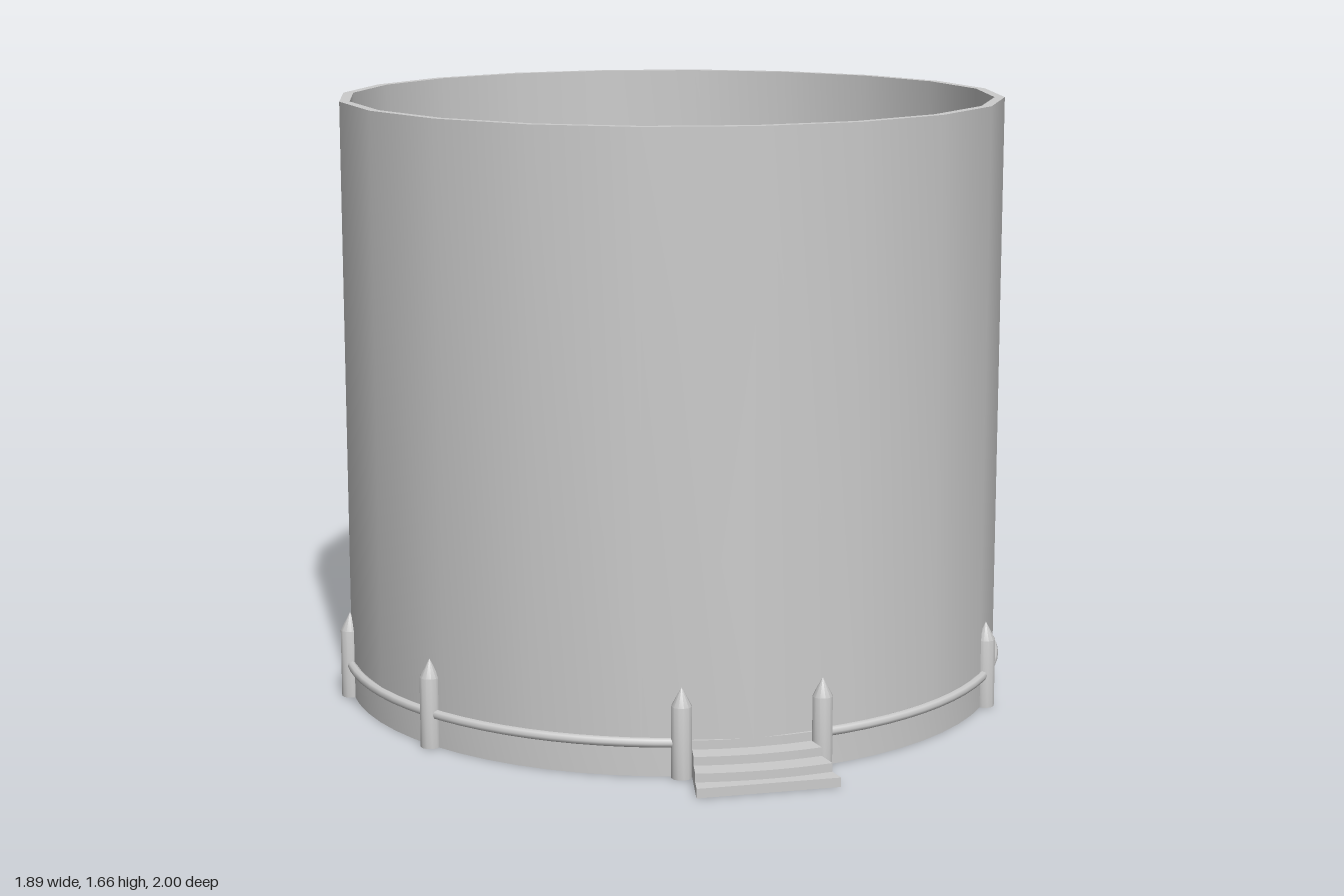
import * as THREE from 'three';
import { toCreasedNormals } from 'three/addons/utils/BufferGeometryUtils.js';

const CENTER_Z = -0.067;
const RAIL_R = 0.92;
const DEG = Math.PI / 180;

export function createModel() {
  const model = new THREE.Group();
  model.name = 'roundTower';
  const body = new THREE.Group();
  body.name = 'towerBody';
  body.position.z = CENTER_Z;
  model.add(body);

  const material = new THREE.MeshStandardMaterial({ color: 0xcccccc });
  const add = (geometry, name, parent = body) => {
    const mesh = new THREE.Mesh(geometry, material);
    mesh.name = name;
    parent.add(mesh);
    return mesh;
  };
  // Revolves a profile, smooth around and sharp at its corners
  const turn = (points, sides) => toCreasedNormals(
    new THREE.LatheGeometry(points.map(([r, y]) => new THREE.Vector2(r, y)), sides), 0.6);

  // Tall hollow wall with 20 sides
  add(turn([[0.889, 0.09], [0.917, 0.09], [0.917, 1.66], [0.889, 1.66], [0.889, 0.09]], 20), 'wall');

  // Round base: a skirt with a raised floor, hollow underneath
  add(turn([[0, 0.075], [0.895, 0.075], [0.895, 0], [0.914, 0], [0.914, 0.095], [0, 0.095]], 64), 'base');

  // Posts with pointed caps, mirrored left and right
  const postProfile = [[0, 0], [0.027, 0], [0.027, 0.19], [0, 0.24]];
  const postGeometry = turn(postProfile, 12);
  for (const angle of [11.7, 57, 90, 123.5, 168.3]) {
    for (const side of [1, -1]) {
      const post = add(postGeometry, 'post');
      post.position.set(side * RAIL_R * Math.sin(angle * DEG), 0, RAIL_R * Math.cos(angle * DEG));
    }
  }

  // Rail around the base, open between the two front posts
  const gap = 11.7 * DEG;
  const rail = add(new THREE.TorusGeometry(RAIL_R, 0.013, 8, 80, 2 * Math.PI - 2 * gap), 'rail');
  rail.rotation.set(Math.PI / 2, 0, Math.PI / 2 + gap);
  rail.position.y = 0.092;

  // Entrance steps: wedge-shaped slabs that follow the wall
  const steps = new THREE.Group();
  steps.name = 'entranceSteps';
  body.add(steps);
  const half = 10 * DEG;
  const addStep = (outer, bottom, top, straight) => {
    const shape = new THREE.Shape();
    const mid = -Math.PI / 2;
    shape.absarc(0, 0, 0.9, mid + half, mid - half, true);
    if (straight) {
      shape.lineTo(-outer * Math.tan(half), -outer);
      shape.lineTo(outer * Math.tan(half), -outer);
    } else {
      shape.absarc(0, 0, outer, mid - half, mid + half, false);
    }
    shape.closePath();
    const geometry = new THREE.ExtrudeGeometry(shape, { depth: top - bottom, bevelEnabled: false, curveSegments: 8 });
    geometry.rotateX(-Math.PI / 2);
    add(geometry, 'step', steps).position.y = bottom;
  };
  addStep(1.067, 0, 0.025, true);
  addStep(1.034, 0.025, 0.048, false);
  addStep(0.972, 0.048, 0.071, false);

  return model;
}
